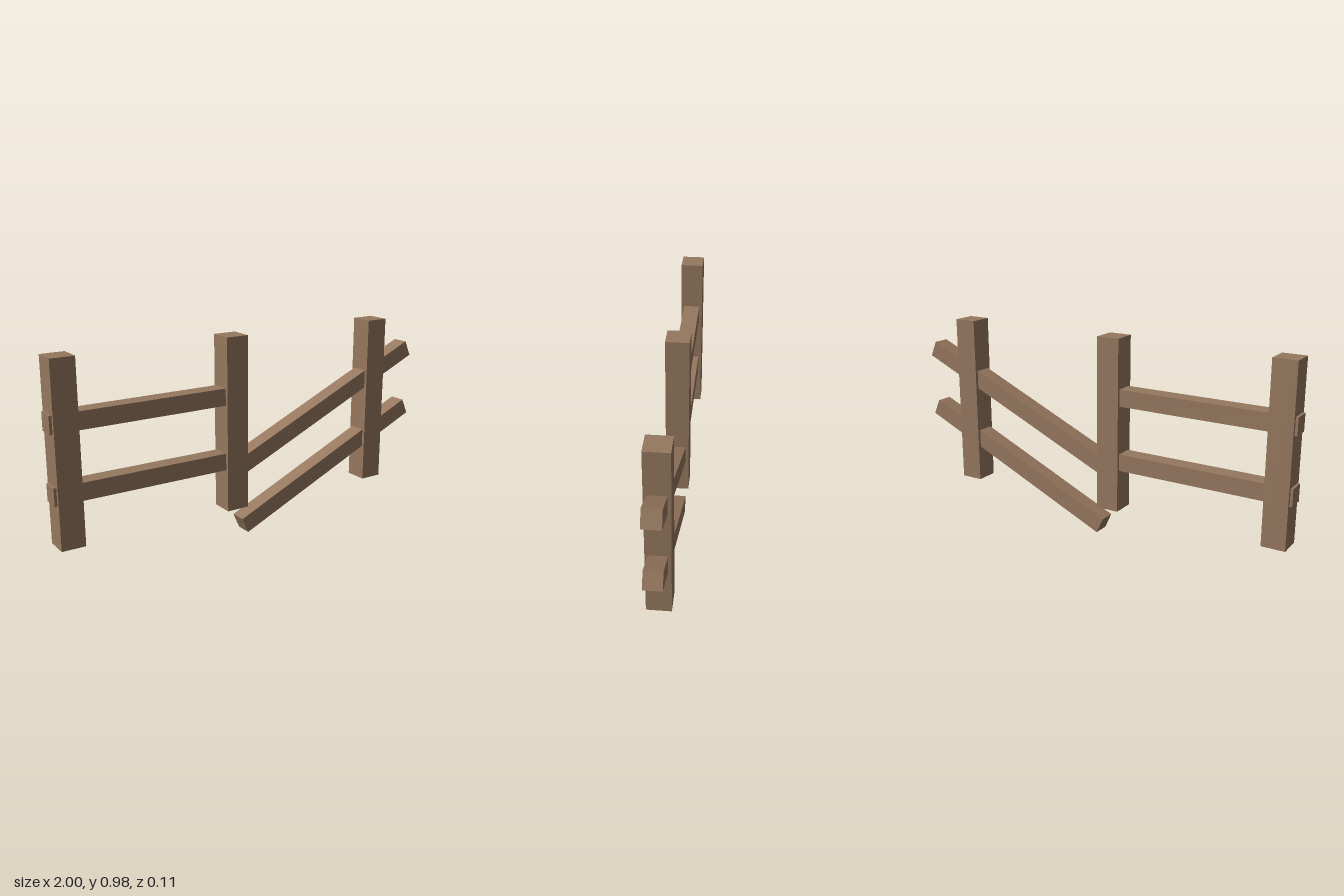
import * as THREE from 'three';

export function createModel() {
  const group = new THREE.Group();
  group.name = 'brokenFence';
  const wood = new THREE.MeshStandardMaterial({ color: 0x96785f });
  wood.name = 'brown wood';

  const POST_W = 0.112, POST_H = 0.84, POST_Y = 0.563;
  const RAIL = 0.082, RAIL_GAP = 0.315;

  function beam(name, w, h, d, x, y, tilt = 0) {
    const mesh = new THREE.Mesh(new THREE.BoxGeometry(w, h, d), wood);
    mesh.name = name;
    mesh.position.set(x, y, 0);
    mesh.rotation.z = tilt;
    group.add(mesh);
  }

  // Three evenly spaced upright posts
  ['rightPost', 'middlePost', 'leftPost'].forEach((name, i) =>
    beam(name, POST_W, POST_H, POST_W, -0.932 + i * 0.84, POST_Y));

  // Two rails per bay: level in the first, fallen at one end in the second
  ['lower', 'upper'].forEach((level, i) => {
    const lift = i * RAIL_GAP;
    beam(level + 'LevelRail', 0.95, RAIL, RAIL, -0.525, 0.388 + lift);
    beam(level + 'FallenRail', 1.12, RAIL, RAIL, 0.471, 0.267 + lift, THREE.MathUtils.degToRad(24));
  });

  return group;
}
